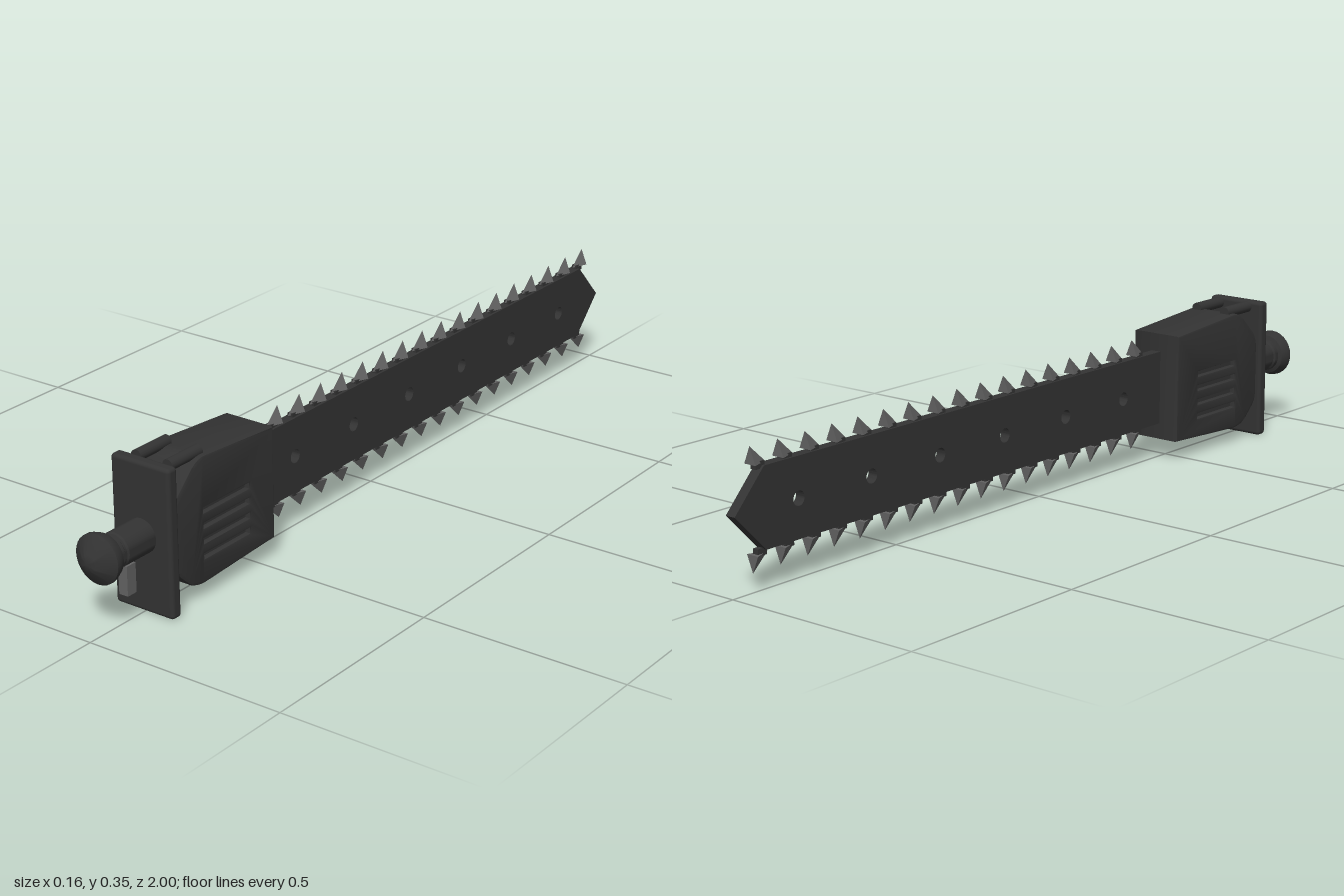
import * as THREE from 'three';
import { toCreasedNormals } from 'three/addons/utils/BufferGeometryUtils.js';
import { RoundedBoxGeometry } from 'three/addons/geometries/RoundedBoxGeometry.js';

const AXIS_Y = 0.18; // height of the handle and blade centre line

export function createModel() {
  const model = new THREE.Group();
  const darkMetal = new THREE.MeshStandardMaterial({ color: 0x333333 });
  darkMetal.name = 'darkMetal';
  const steel = new THREE.MeshStandardMaterial({ color: 0x626262 });
  steel.name = 'steel';

  function add(name, geometry, material, x = 0, y = 0, z = 0, parent = model) {
    const mesh = new THREE.Mesh(geometry, material);
    mesh.name = name;
    mesh.position.set(x, y, z);
    parent.add(mesh);
    return mesh;
  }

  // Extrude a side profile drawn as (z, y), centred on x = 0
  function sideExtrude(shape, width, bevel) {
    const g = new THREE.ExtrudeGeometry(shape, {
      depth: width - 2 * bevel, bevelEnabled: bevel > 0, bevelSize: bevel,
      bevelThickness: bevel, bevelOffset: -bevel, bevelSegments: 2, curveSegments: 10,
    });
    g.translate(0, 0, -(width - 2 * bevel) / 2);
    g.rotateY(-Math.PI / 2);
    return toCreasedNormals(g, 0.6);
  }

  // Blade: pointed bar with a row of round holes
  const bladeShape = new THREE.Shape([
    [0.48, 0.09], [0.48, 0.273], [-0.912, 0.273], [-1, AXIS_Y], [-0.912, 0.09],
  ].map(([z, y]) => new THREE.Vector2(z, y)));
  for (let i = 0; i < 6; i++) {
    const hole = new THREE.Path();
    hole.absarc(0.309 - i * 0.2243, AXIS_Y, 0.017, 0, Math.PI * 2);
    bladeShape.holes.push(hole);
  }
  add('blade', sideExtrude(bladeShape, 0.026, 0), darkMetal);

  // Teeth: three-sided spikes leaning to the back, on small links
  const tooth = new THREE.ConeGeometry(1, 1, 3, 1).toNonIndexed();
  const p = tooth.attributes.position;
  for (let i = 0; i < p.count; i++) {
    const apex = p.getY(i) > 0;
    p.setXYZ(i, p.getX(i) * 0.019, (p.getY(i) + 0.5) * 0.04,
      apex ? 0 : (p.getZ(i) + 0.5) * 0.029);
  }
  tooth.computeVertexNormals();
  const link = new THREE.BoxGeometry(0.014, 0.016, 0.026);
  for (const side of [1, -1]) {
    const chain = new THREE.Group();
    chain.name = side > 0 ? 'upperChain' : 'lowerChain';
    chain.position.y = AXIS_Y;
    chain.rotation.z = side > 0 ? 0 : Math.PI;
    model.add(chain);
    for (let i = 0; i < 17; i++) {
      const z = 0.356 - i * 0.081;
      add('tooth', tooth, steel, 0, 0.098, z, chain);
      add('toothLink', link, darkMetal, 0, 0.094, z + 0.022, chain);
    }
  }

  // Motor housing with four vent slots on each side
  const body = new THREE.Shape();
  body.moveTo(0.457, 0.05);
  body.lineTo(0.70, 0.037);
  body.quadraticCurveTo(0.735, 0.037, 0.755, 0.055);
  body.lineTo(0.782, 0.08);
  body.quadraticCurveTo(0.797, 0.095, 0.797, 0.115);
  body.lineTo(0.797, 0.235);
  body.quadraticCurveTo(0.797, 0.255, 0.782, 0.275);
  body.lineTo(0.735, 0.32);
  body.quadraticCurveTo(0.715, 0.337, 0.69, 0.335);
  body.lineTo(0.457, 0.318);
  for (let i = 0; i < 4; i++) {
    const y = 0.1 + i * 0.036, h = 0.006;
    body.holes.push(new THREE.Path([
      new THREE.Vector2(0.545, y - h), new THREE.Vector2(0.545, y + h),
      new THREE.Vector2(0.70, y + h), new THREE.Vector2(0.70, y - h),
    ]));
  }
  add('motorHousing', sideExtrude(body, 0.136, 0.006), darkMetal);
  add('ventBacking', new THREE.BoxGeometry(0.11, 0.16, 0.2), darkMetal, 0, 0.154, 0.622);

  // Pair of exhaust pipes on top
  const pipe = new THREE.CylinderGeometry(0.014, 0.014, 0.1, 16).rotateX(Math.PI / 2);
  for (const side of [1, -1]) {
    add(side > 0 ? 'leftPipe' : 'rightPipe', pipe, darkMetal, side * 0.043, 0.338, 0.735);
  }

  // Hand guard
  add('guard', new RoundedBoxGeometry(0.16, 0.35, 0.03, 3, 0.009), darkMetal, 0, 0.175, 0.811);

  // Handle with neck ring and pointed pommel
  const handle = new THREE.LatheGeometry([
    [0.04, 0.815], [0.04, 0.91], [0.037, 0.914], [0.037, 0.92], [0.041, 0.924],
    [0.041, 0.936], [0.05, 0.94], [0.058, 0.958], [0.058, 0.967], [0.02, 0.995], [0, 1],
  ].map(([r, z]) => new THREE.Vector2(r, z)), 28).rotateX(Math.PI / 2);
  add('handle', toCreasedNormals(handle, 0.5), darkMetal, 0, AXIS_Y, 0);

  // Trigger
  add('trigger', new THREE.BoxGeometry(0.024, 0.07, 0.028), steel, 0, 0.1, 0.876);

  return model;
}
